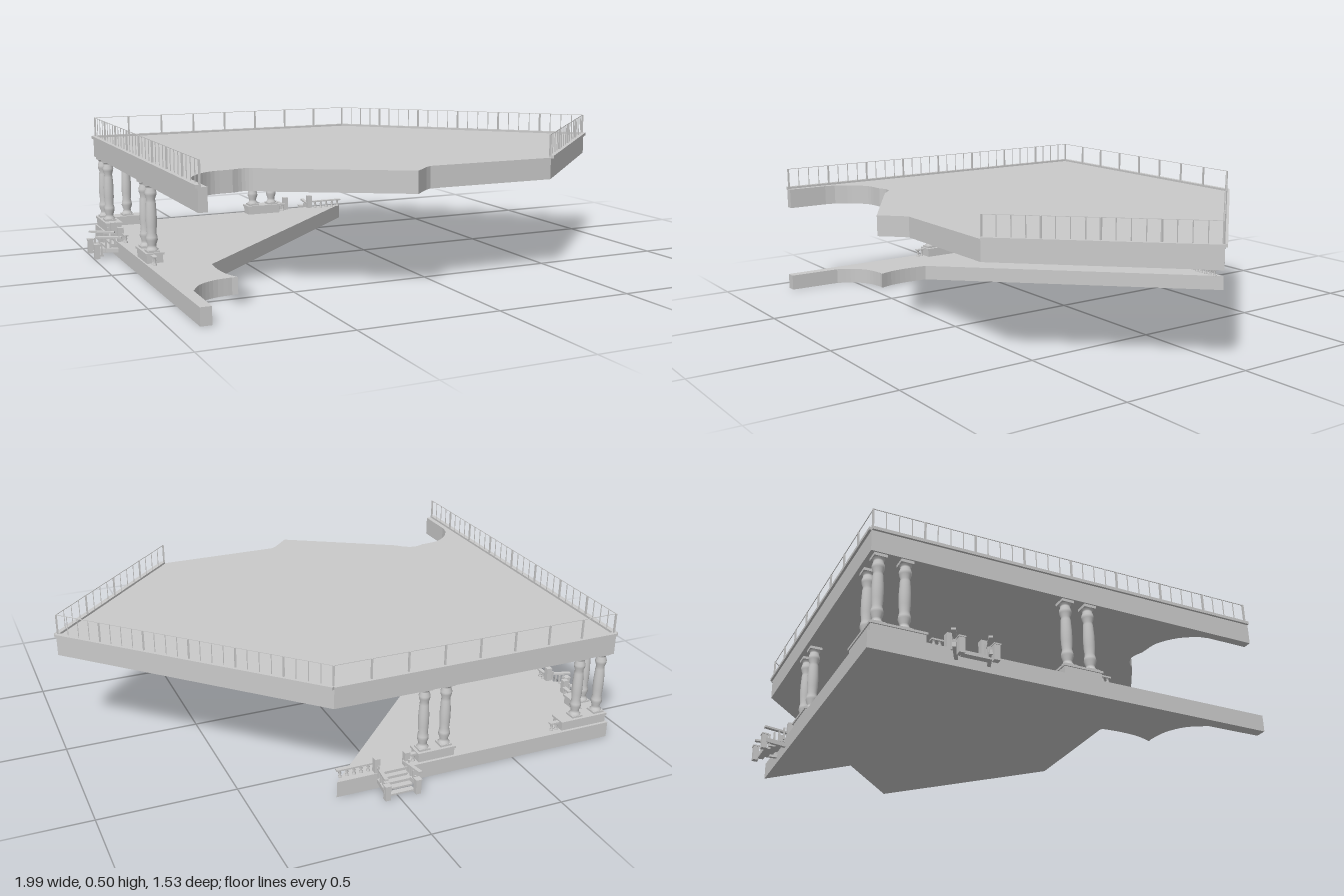
import * as THREE from 'three';

const stone = new THREE.MeshStandardMaterial({ color: 0xcacaca });
stone.name = 'paleStone';

function add(parent, geometry, name, x = 0, y = 0, z = 0) {
  const mesh = new THREE.Mesh(geometry, stone);
  mesh.name = name;
  mesh.position.set(x, y, z);
  parent.add(mesh);
  return mesh;
}

function group(parent, name, x = 0, y = 0, z = 0) {
  const g = new THREE.Group();
  g.name = name;
  g.position.set(x, y, z);
  parent.add(g);
  return g;
}

const box = (w, h, d) => new THREE.BoxGeometry(w, h, d);

// Bar of rectangular section between two points
function bar(parent, name, a, b, w, h) {
  const A = new THREE.Vector3(...a), B = new THREE.Vector3(...b);
  const mesh = add(parent, box(w, h, A.distanceTo(B)), name);
  mesh.position.copy(A).add(B).multiplyScalar(0.5);
  mesh.lookAt(B);
  return mesh;
}

// Smooth run of [x, z] points
const curve = (pts, n = 16) => new THREE.SplineCurve(pts.map(p => new THREE.Vector2(...p))).getPoints(n).map(p => [p.x, p.y]);

// Horizontal slab from an [x, z] outline
function slab(parent, name, outline, y, height) {
  const shape = new THREE.Shape(outline.map(([x, z]) => new THREE.Vector2(x, -z)));
  const geo = new THREE.ExtrudeGeometry(shape, { depth: height, bevelEnabled: false });
  geo.rotateX(-Math.PI / 2);
  return add(parent, geo, name, 0, y, 0);
}

// Turned column with swellings, square foot and cap
const columnProfile = [
  [0.021, 0.1], [0.022, 0.107], [0.016, 0.113], [0.015, 0.122], [0.021, 0.14], [0.02, 0.15],
  [0.0165, 0.165], [0.019, 0.19], [0.0195, 0.23], [0.017, 0.275], [0.015, 0.285], [0.02, 0.3],
  [0.021, 0.31], [0.016, 0.325], [0.017, 0.33], [0.022, 0.336]
].map(p => new THREE.Vector2(...p));
const columnGeo = new THREE.LatheGeometry(columnProfile, 20);

function column(parent, x, z) {
  const g = group(parent, 'column', x, 0, z);
  add(g, columnGeo, 'shaft');
  add(g, box(0.044, 0.008, 0.044), 'foot', 0, 0.1, 0);
  add(g, box(0.044, 0.01, 0.044), 'cap', 0, 0.34, 0);
}

// Plinth made of a block and a slightly wider top
function plinth(parent, x, z, w, d) {
  add(parent, box(w - 0.008, 0.03, d - 0.008), 'plinth', x, 0.074, z);
  add(parent, box(w, 0.008, d), 'plinthTop', x, 0.093, z);
}

// Low balustrade of small turned balusters between two [x, z] points
const balusterGeo = new THREE.LatheGeometry(
  [[0.007, 0.06], [0.007, 0.064], [0.003, 0.07], [0.006, 0.076], [0.003, 0.082], [0.007, 0.087]].map(p => new THREE.Vector2(...p)), 8);

function balustrade(parent, a, b, count) {
  const g = group(parent, 'lowBalustrade');
  bar(g, 'handrail', [a[0], 0.089, a[1]], [b[0], 0.089, b[1]], 0.016, 0.006);
  for (let i = 0; i < count; i++) {
    const t = (i + 0.5) / count;
    add(g, balusterGeo, 'baluster', a[0] + (b[0] - a[0]) * t, 0, a[1] + (b[1] - a[1]) * t);
  }
}

// Stairs descending along local +z, with posts and sloping handrails
function stairs(parent, x, z, turn) {
  const g = group(parent, 'stairs', x, 0, z);
  g.rotation.y = turn;
  const steps = 4, run = 0.07 / steps;
  for (let i = 0; i < steps; i++) {
    const top = 0.05 - i * 0.0125;
    add(g, box(0.1, 0.007, run + 0.004), 'tread', 0, top - 0.0035, run * (i + 0.5));
  }
  for (const s of [-1, 1]) {
    const px = s * 0.058;
    add(g, box(0.02, 0.055, 0.022), 'topPost', px, 0.0865, -0.014);
    add(g, box(0.02, 0.053, 0.02), 'newelPost', px, 0.0265, 0.078);
    add(g, box(0.024, 0.005, 0.024), 'newelCap', px, 0.0545, 0.078);
    bar(g, 'stringer', [px, 0.052, 0], [px, 0.008, 0.07], 0.012, 0.016);
    bar(g, 'handrail', [px, 0.106, -0.01], [px, 0.053, 0.075], 0.014, 0.007);
    for (let i = 0; i < 4; i++) {
      const t = (i + 0.5) / 4;
      add(g, box(0.006, 0.046, 0.006), 'stairBaluster', px, 0.077 - 0.048 * t, 0.068 * t);
    }
  }
}

// Thin deck railing between two [x, z] points
function deckRailing(parent, a, b, count, thickEvery) {
  const g = group(parent, 'deckRailing');
  for (let i = 0; i <= count; i++) {
    const t = i / count, w = i % thickEvery ? 0.0025 : 0.006;
    add(g, box(w, 0.075, w), 'railPost', a[0] + (b[0] - a[0]) * t, 0.467, a[1] + (b[1] - a[1]) * t);
  }
  bar(g, 'topRail', [a[0], 0.504, a[1]], [b[0], 0.504, b[1]], 0.002, 0.002);
}

export function createModel() {
  const model = new THREE.Group();
  model.name = 'terrace';

  // Ground slab with scooped front edge
  slab(model, 'groundSlab', [
    [-0.91, -0.68], [0.2, -0.68],
    ...curve([[-0.7, 0.23], [-0.706, 0.31], [-0.7, 0.39], [-0.68, 0.45]], 10),
    ...curve([[-0.7, 0.447], [-0.77, 0.46], [-0.83, 0.5], [-0.868, 0.565]], 12),
    [-0.872, 0.765], [-0.91, 0.765]
  ], 0, 0.06);

  // Upper deck
  slab(model, 'upperDeck', [
    [-0.905, -0.675], [0.21, -0.675], [0.98, 0.09], [0.425, 0.65], [-0.06, 0.648],
    [-0.085, 0.665], [-0.15, 0.73], [-0.54, 0.497],
    ...curve([[-0.575, 0.475], [-0.61, 0.442], [-0.65, 0.43], [-0.69, 0.443]], 10),
    ...curve([[-0.71, 0.445], [-0.77, 0.455], [-0.83, 0.5], [-0.868, 0.56]], 12),
    [-0.875, 0.6], [-0.875, 0.755], [-0.905, 0.755]
  ], 0.345, 0.077);

  // Cornice and railing around the outer deck edges
  const edge = [[-0.904, 0.755], [-0.904, -0.674], [0.212, -0.674], [0.98, 0.09], [0.428, 0.65]];
  const posts = [32, 8, 24, 16], thick = [4, 1, 4, 4];
  for (let i = 0; i < 4; i++) {
    const a = edge[i], b = edge[i + 1];
    bar(model, 'cornice', [a[0], 0.4245, a[1]], [b[0], 0.4245, b[1]], 0.018, 0.011);
    const inset = ([x, z]) => [x * 0.993, z * 0.993];
    deckRailing(model, inset(a), inset(b), posts[i], thick[i]);
  }

  // Columns on plinths: corner cluster, back pair and side pair
  plinth(model, -0.79, -0.64, 0.16, 0.066);
  plinth(model, -0.875, -0.578, 0.066, 0.19);
  plinth(model, -0.19, -0.64, 0.15, 0.066);
  plinth(model, -0.875, 0.062, 0.066, 0.145);
  for (const [x, z] of [[-0.878, -0.64], [-0.785, -0.64], [-0.878, -0.55],
    [-0.232, -0.64], [-0.147, -0.64], [-0.878, 0.105], [-0.878, 0.02]]) column(model, x, z);

  // Low balustrade runs beside plinths and stairs
  balustrade(model, [-0.71, -0.65], [-0.672, -0.65], 2);
  balustrade(model, [-0.115, -0.65], [-0.08, -0.65], 2);
  balustrade(model, [0.055, -0.65], [0.19, -0.65], 5);
  balustrade(model, [-0.885, 0.135], [-0.885, 0.172], 2);
  balustrade(model, [-0.885, -0.285], [-0.885, -0.245], 2);
  balustrade(model, [-0.885, -0.465], [-0.885, -0.425], 2);

  // Stairs on the back and on the side
  stairs(model, -0.013, -0.68, Math.PI);
  stairs(model, -0.91, -0.352, -Math.PI / 2);

  return model;
}
